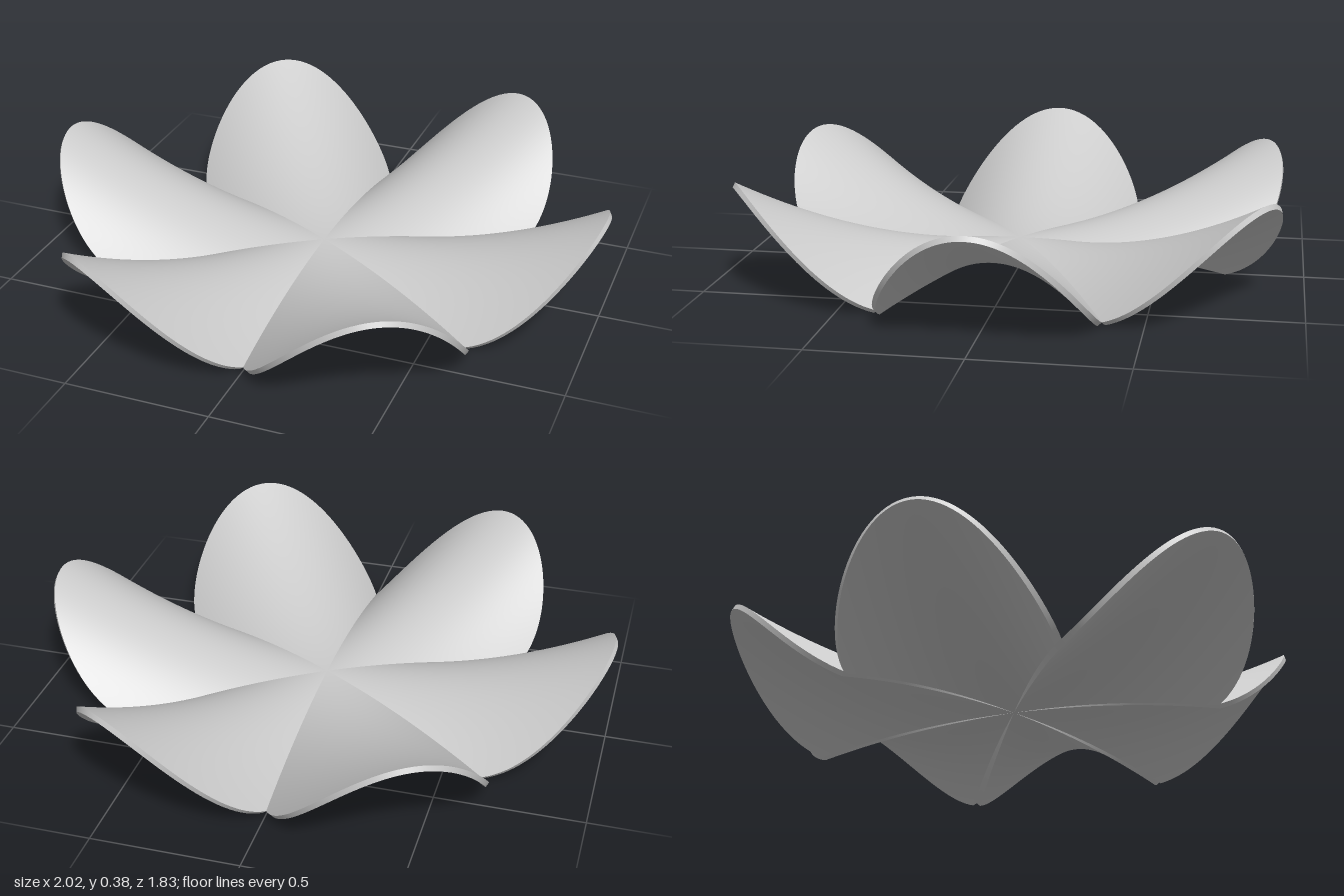
import * as THREE from 'three';
import { mergeGeometries } from 'three/addons/utils/BufferGeometryUtils.js';
import { ParametricGeometry } from 'three/addons/geometries/ParametricGeometry.js';

const PETALS = 6;
const RIM_CENTRE = 0.633;   // plan centre of the round petal end
const RIM_RADIUS = 0.366;
const CROWN = 0.1;          // height in the middle
const RISE = 0.28;          // upward curve along the petal
const FALL = 1.49;          // downward curve across the petal
const THICKNESS = 0.018;

// Point of the saddle shell: u runs across the petal, s from the middle to the rim,
// depth 0 is the upper face and 1 the lower face
function shellPoint(u, s, depth, target) {
  const phi = (u - 0.5) * Math.PI;
  const r = 0.001 + 0.999 * s;
  const x = r * (RIM_CENTRE + RIM_RADIUS * Math.cos(phi));
  const z = r * RIM_RADIUS * Math.sin(phi);
  const y = CROWN + RISE * x * x - FALL * z * z;
  const normal = new THREE.Vector3(-2 * RISE * x, 1, 2 * FALL * z).normalize();
  return target.set(x, y, z).addScaledVector(normal, -THICKNESS * depth);
}

function petalGeometry() {
  const across = 56, along = 36;
  return mergeGeometries([
    // Upper and lower faces
    new ParametricGeometry((u, v, t) => shellPoint(u, v, 0, t), across, along),
    new ParametricGeometry((u, v, t) => shellPoint(1 - u, v, 1, t), across, along),
    // Round rim
    new ParametricGeometry((u, v, t) => shellPoint(u, 1, v, t), across, 1),
    // Straight sides along the valleys
    new ParametricGeometry((u, v, t) => shellPoint(1, u, 1 - v, t), along, 1),
    new ParametricGeometry((u, v, t) => shellPoint(0, 1 - u, 1 - v, t), along, 1),
  ]);
}

export function createModel() {
  const model = new THREE.Group();
  model.name = 'petalShellRoof';
  const material = new THREE.MeshStandardMaterial({ color: 0xcccccc, side: THREE.DoubleSide });
  const geometry = petalGeometry();

  // Ring of equal petals meeting at the crown
  for (let i = 0; i < PETALS; i++) {
    const petal = new THREE.Mesh(geometry, material);
    petal.name = `petal${i + 1}`;
    petal.rotation.y = (i * 2 * Math.PI) / PETALS;
    model.add(petal);
  }
  return model;
}
